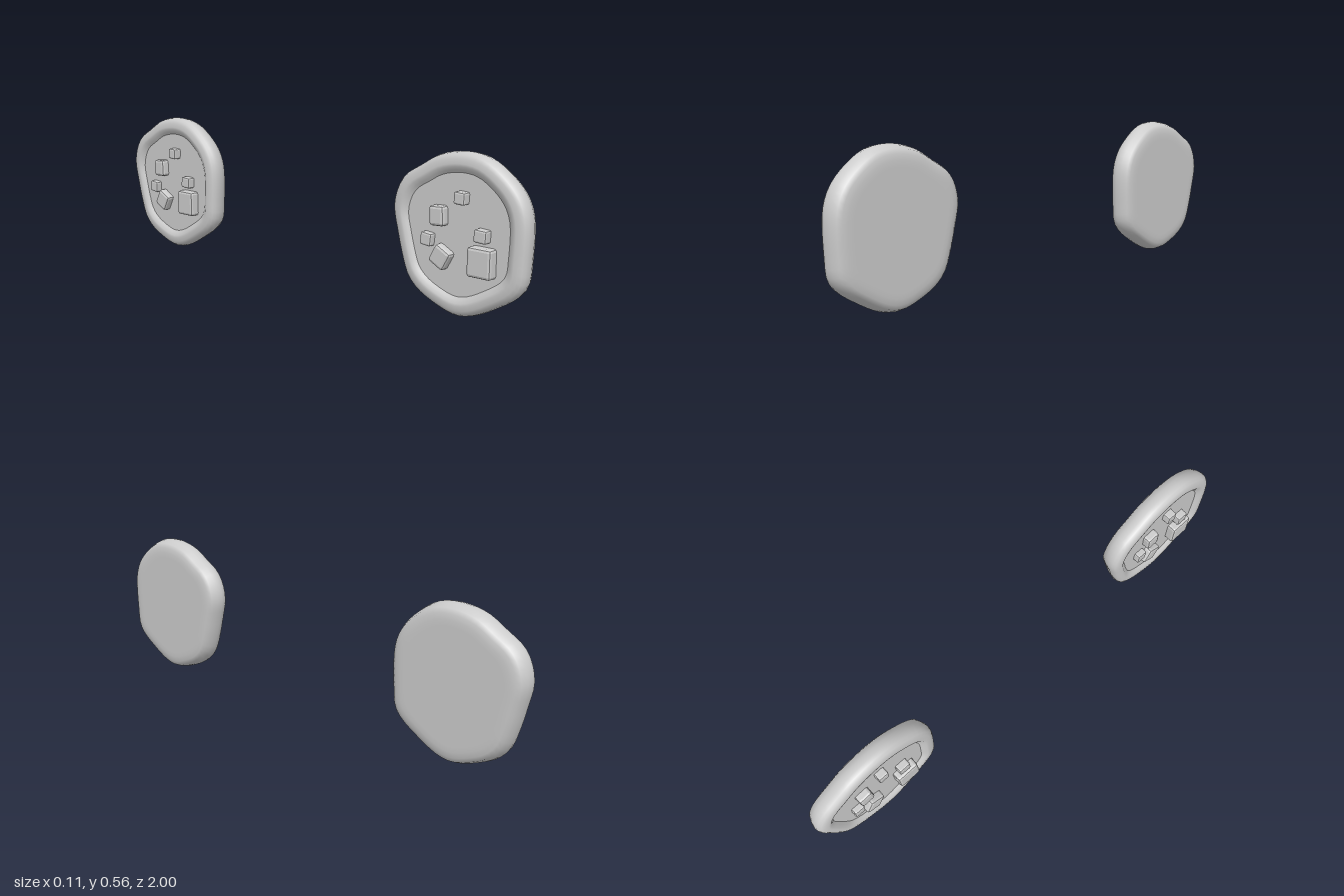
import * as THREE from 'three';
import { RoundedBoxGeometry } from 'three/addons/geometries/RoundedBoxGeometry.js';

const material = new THREE.MeshStandardMaterial({ color: 0xcccccc });
const RADIUS = 0.27;
const SEGMENTS = 63;

// Irregular pebble-like outline, as [z, y] in hundredths around the disc centre
const outline = new THREE.CatmullRomCurve3([
  [2, 27.8], [-8, 26], [-15.6, 21.8], [-22, 17.8], [-25.2, 13], [-26.6, 6.5],
  [-24.8, -2.2], [-22.6, -10.4], [-19.9, -17.4], [-15.6, -21.8], [-8, -25.6],
  [0, -27.8], [6.5, -26.8], [15.6, -22.3], [23, -17.4], [25.8, -13.6],
  [26.6, -7], [26.6, 9.2], [23.7, 16.3], [17.7, 22.3], [10.2, 26.7],
].map(([z, y]) => new THREE.Vector3(0, y / 100, z / 100)), true, 'centripetal')
  .getSpacedPoints(SEGMENTS).slice(0, SEGMENTS);

// Skin rings of the outline; each profile entry is [x, inset from the edge]
function loft(profile) {
  const positions = [];
  const index = [];
  profile.forEach(([x, inset], r) => {
    const s = 1 - inset / RADIUS;
    outline.forEach((p, i) => {
      positions.push(x, p.y * s, p.z * s);
      if (r === profile.length - 1) return;
      const a = r * SEGMENTS + i;
      const b = r * SEGMENTS + (i + 1) % SEGMENTS;
      const c = a + SEGMENTS;
      const d = b + SEGMENTS;
      index.push(a, c, b, b, c, d);
    });
  });
  const geometry = new THREE.BufferGeometry();
  geometry.setAttribute('position', new THREE.Float32BufferAttribute(positions, 3));
  geometry.setIndex(index);
  geometry.computeVertexNormals();
  return geometry;
}

function addMesh(parent, name, geometry) {
  const mesh = new THREE.Mesh(geometry, material);
  mesh.name = name;
  parent.add(mesh);
  return mesh;
}

// Studs: z and y from the disc centre, width, height, outermost x, tilt
const studs = [
  [0.025, 0.128, 0.042, 0.042, -0.051, 0.05],
  [-0.065, 0.058, 0.058, 0.068, -0.051, -0.05],
  [0.108, 0.014, 0.048, 0.044, -0.05, 0.05],
  [0.11, -0.073, 0.092, 0.1, -0.057, 0],
  [-0.11, -0.028, 0.044, 0.045, -0.045, 0.1],
  [-0.05, -0.08, 0.066, 0.07, -0.051, 0.5],
];

function createDisc() {
  const disc = new THREE.Group();

  // Rounded rim running round to the flat face
  addMesh(disc, 'rim', loft([
    [-0.02, 0.067], [-0.027, 0.058], [-0.034, 0.047], [-0.035, 0.038],
    [-0.033, 0.022], [-0.027, 0.01], [-0.016, 0.003], [0, 0], [0.02, 0.004],
    [0.043, 0.014], [0.05, 0.03], [0.053, 0.05], [0.053, 0.07], [0.053, RADIUS],
  ]));

  // Recessed floor inside the rim
  addMesh(disc, 'recessFloor', loft([[-0.02, RADIUS], [-0.02, 0.067]]));

  // Bevelled studs standing on the floor
  for (const [z, y, width, height, top, tilt] of studs) {
    const depth = -0.01 - top;
    const geometry = new RoundedBoxGeometry(depth, height, width, 1, Math.min(0.01, height * 0.15));
    geometry.computeVertexNormals();
    const stud = addMesh(disc, 'stud', geometry);
    stud.position.set(top + depth / 2, y, z);
    stud.rotation.x = tilt;
  }
  return disc;
}

export function createModel() {
  const model = new THREE.Group();
  model.name = 'discPair';
  for (const [name, z] of [['frontDisc', 0.733], ['backDisc', -0.733]]) {
    const disc = createDisc();
    disc.name = name;
    disc.position.set(0, 0.278, z);
    model.add(disc);
  }
  return model;
}
